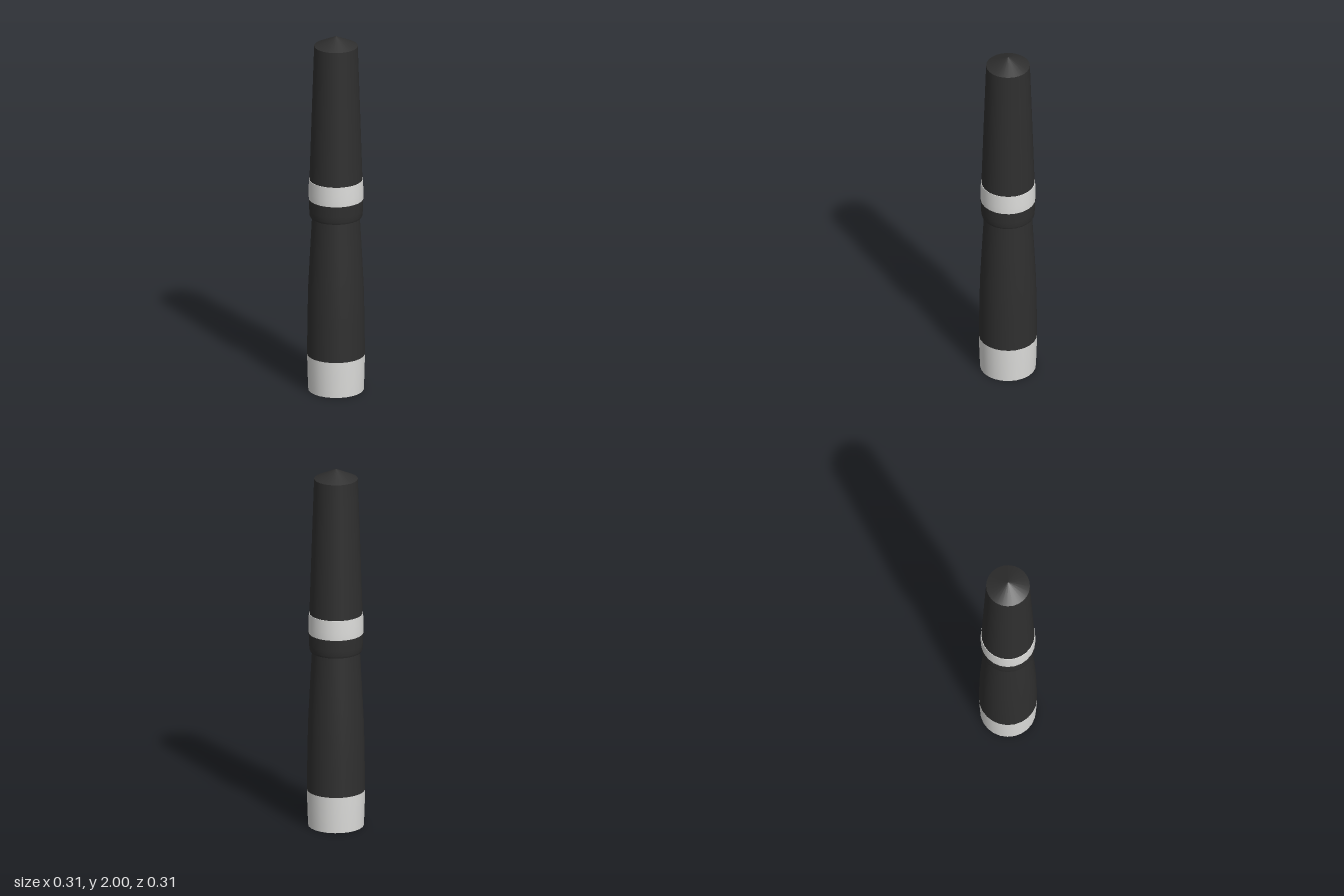
import * as THREE from 'three';

export function createModel() {
  const group = new THREE.Group();
  const black = new THREE.MeshStandardMaterial({ color: 0x2f2f2f });
  black.name = 'black';
  const silver = new THREE.MeshStandardMaterial({ color: 0xdcdcda });
  silver.name = 'silver';

  // Each part is a 24-sided turned section, given as [radius, height] from bottom to top
  const turn = (name, material, profile) => {
    const points = profile.map(([r, y]) => new THREE.Vector2(r, y));
    const mesh = new THREE.Mesh(new THREE.LatheGeometry(points, 24), material);
    mesh.name = name;
    group.add(mesh);
  };

  // Bottom cap
  turn('baseUnderside', silver, [[0, 0], [0.149, 0]]);
  turn('baseCap', silver, [[0.149, 0], [0.153, 0.1], [0.155, 0.2]]);

  // Lower barrel, narrowing towards the collar
  turn('lowerBarrel', black, [[0.155, 0.2], [0.153, 0.4], [0.149, 0.58], [0.139, 0.78], [0.128, 0.98]]);

  // Collar with a rounded lower edge
  turn('collarUnderside', black, [[0.126, 0.978], [0.137, 0.978]]);
  turn('collar', black, [[0.137, 0.978], [0.142, 0.99], [0.144, 1.02], [0.146, 1.08]]);

  // Middle band with its narrow top lip
  turn('middleBand', silver, [[0.146, 1.08], [0.147, 1.12], [0.145, 1.19]]);
  turn('middleBandLip', silver, [[0.145, 1.19], [0.14, 1.19]]);

  // Upper barrel and its pointed end
  turn('upperBarrel', black, [[0.142, 1.19], [0.13, 1.56], [0.117, 1.945]]);
  turn('tip', black, [[0.117, 1.945], [0, 2]]);

  return group;
}
